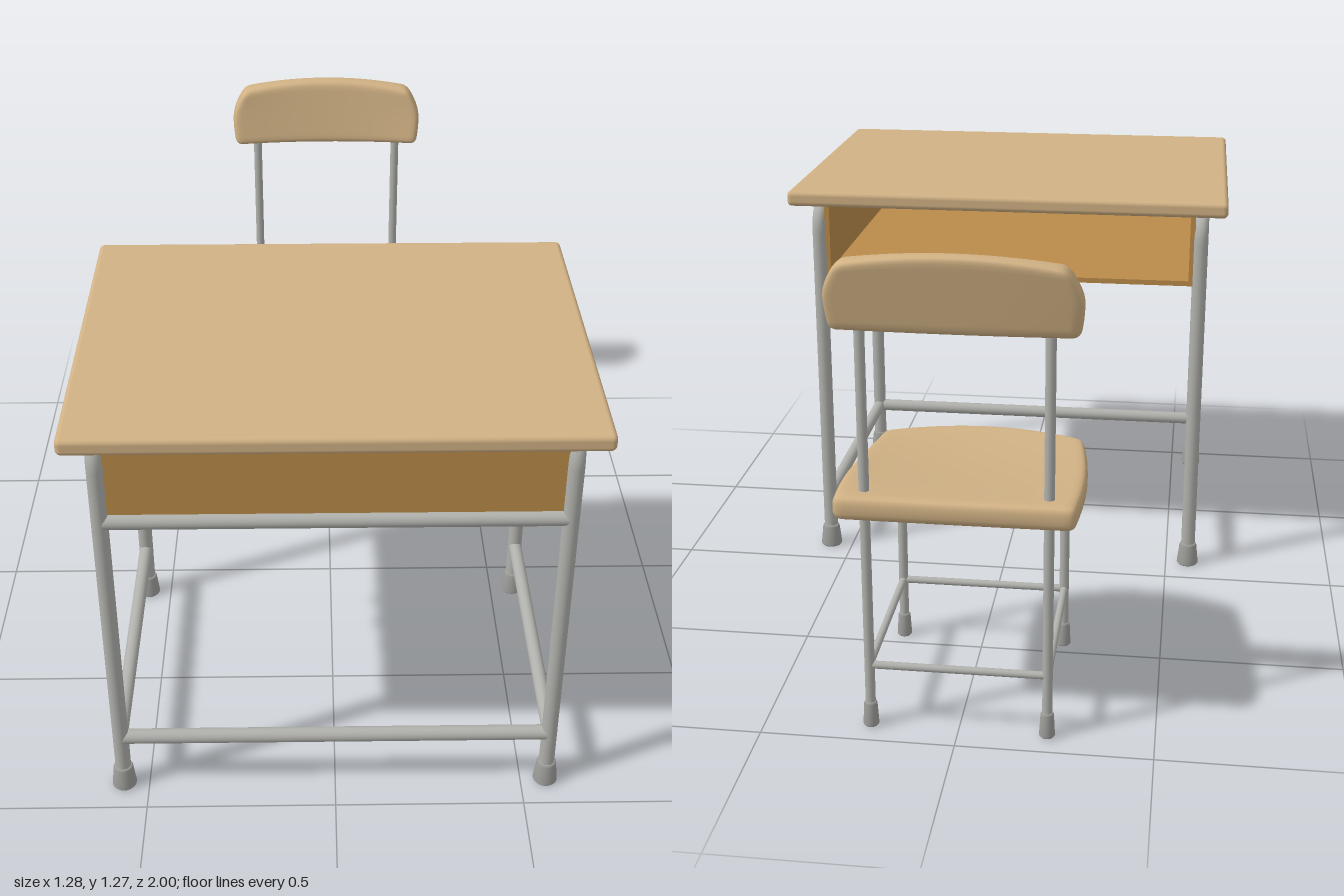
import * as THREE from 'three';
import { mergeVertices } from 'three/addons/utils/BufferGeometryUtils.js';
import { RoundedBoxGeometry } from 'three/addons/geometries/RoundedBoxGeometry.js';

const material = (name, color) => {
  const m = new THREE.MeshStandardMaterial({ color });
  m.name = name;
  return m;
};
const V = (x, y, z) => new THREE.Vector3(x, y, z);

// Path through points with each corner rounded by radius r
function roundedPath(pts, r, closed = false) {
  const path = new THREE.CurvePath();
  const n = pts.length;
  const toward = (a, b) => a.clone().add(b.clone().sub(a).setLength(r));
  let last = closed ? toward(pts[0], pts[1]) : pts[0];
  const first = last.clone();
  for (let i = 1; i < (closed ? n + 1 : n - 1); i++) {
    const p = pts[i % n];
    const start = toward(p, pts[i - 1]);
    const end = toward(p, pts[(i + 1) % n]);
    path.add(new THREE.LineCurve3(last, start));
    path.add(new THREE.QuadraticBezierCurve3(start, p, end));
    last = end;
  }
  path.add(new THREE.LineCurve3(last, closed ? first : pts[n - 1]));
  if (closed) path.curves.pop();
  return path;
}

// Round-edged cushion block, dense near its edges, then shaped by a rule
function shapedBlock(w, h, d, r, rule, segs) {
  const g = new THREE.BoxGeometry(2, 2, 2, ...segs);
  const half = V(w / 2, h / 2, d / 2);
  const inner = half.clone().subScalar(r);
  const pos = g.attributes.position;
  const p = V(0, 0, 0);
  const q = V(0, 0, 0);
  const ease = (t) => Math.sin((t * Math.PI) / 2);
  for (let i = 0; i < pos.count; i++) {
    p.fromBufferAttribute(pos, i);
    p.set(ease(p.x), ease(p.y), ease(p.z)).multiply(half);
    q.copy(p).clamp(inner.clone().negate(), inner);
    p.sub(q).setLength(r).add(q);
    rule(p);
    pos.setXYZ(i, p.x, p.y, p.z);
  }
  g.deleteAttribute('normal');
  g.deleteAttribute('uv');
  const merged = mergeVertices(g, 1e-5);
  merged.computeVertexNormals();
  return merged;
}

export function createModel() {
  const wood = material('pale wood', 0xd0b184);
  const tray = material('brown wood', 0xba8b49);
  const steel = material('grey steel', 0xb0b1ac);
  const rubber = material('grey rubber', 0x9d9d9a);

  const model = new THREE.Group();
  const desk = new THREE.Group();
  desk.name = 'desk';
  const chair = new THREE.Group();
  chair.name = 'chair';
  model.add(desk, chair);

  const add = (group, name, geometry, mat, x = 0, y = 0, z = 0) => {
    const mesh = new THREE.Mesh(geometry, mat);
    mesh.name = name;
    mesh.position.set(x, y, z);
    group.add(mesh);
    return mesh;
  };
  const rod = (group, name, a, b, r) => {
    const g = new THREE.CylinderGeometry(r, r, a.distanceTo(b), 20);
    const mid = a.clone().add(b).multiplyScalar(0.5);
    const mesh = add(group, name, g, steel, mid.x, mid.y, mid.z);
    mesh.quaternion.setFromUnitVectors(V(0, 1, 0), b.clone().sub(a).normalize());
  };
  // Tapered foot cap with softened rims
  const foot = (group, x, z, rTop, rBottom) => {
    const profile = [[0, 0], [rBottom - 0.004, 0], [rBottom, 0.005], [rTop + 0.001, 0.064],
      [rTop - 0.003, 0.07], [0, 0.07]].map(([a, b]) => new THREE.Vector2(a, b));
    add(group, 'footCap', new THREE.LatheGeometry(profile, 24), rubber, x, 0, z);
  };

  // Desk top
  add(desk, 'deskTop', new RoundedBoxGeometry(1.28, 0.045, 0.985, 4, 0.014), wood, 0, 1.1475, 0.5075);

  // Open-backed book tray: hollow sleeve plus front panel
  const sleeve = new THREE.Shape([[-0.55, 0.9], [0.55, 0.9], [0.55, 1.127], [-0.55, 1.127]]
    .map(([a, b]) => new THREE.Vector2(a, b)));
  sleeve.holes.push(new THREE.Path([[-0.535, 0.915], [-0.535, 1.115], [0.535, 1.115], [0.535, 0.915]]
    .map(([a, b]) => new THREE.Vector2(a, b))));
  add(desk, 'bookTray', new THREE.ExtrudeGeometry(sleeve, { depth: 0.8, bevelEnabled: false }), tray, 0, 0, 0.1);
  add(desk, 'trayFront', new THREE.BoxGeometry(1.1, 0.227, 0.015), tray, 0, 1.0135, 0.9075);

  // Desk side frames, hooks and rails
  const legX = 0.567, backZ = 0.105, frontZ = 0.912;
  for (const s of [-1, 1]) {
    const x = s * legX;
    const frame = roundedPath([V(x, 0.03, frontZ), V(x, 1.104, frontZ), V(x, 1.104, backZ), V(x, 0.03, backZ)], 0.075);
    add(desk, 'sideFrame', new THREE.TubeGeometry(frame, 160, 0.021, 16), steel);
    rod(desk, 'sideRail', V(x, 0.172, backZ), V(x, 0.172, frontZ), 0.019);
    for (const z of [backZ, frontZ]) foot(desk, x, z, 0.025, 0.0325);

    // Bag hook: an L-bent loop, upright on the side and folded under the tray
    const hx = s * 0.566, ix = s * 0.43;
    const hook = roundedPath([V(hx, 0.985, 0.45), V(hx, 0.985, 0.56), V(hx, 0.895, 0.56), V(ix, 0.895, 0.56),
      V(ix, 0.895, 0.45), V(hx, 0.895, 0.45)], 0.026, true);
    add(desk, 'bagHook', new THREE.TubeGeometry(hook, 120, 0.012, 10, true), steel);
  }
  for (const y of [0.172, 0.878]) rod(desk, 'frontRail', V(-legX, y, frontZ), V(legX, y, frontZ), 0.02);

  // Chair legs, back posts and lower rails
  const cx = 0.227, cf = -0.45, cb = -0.925;
  for (const x of [-cx, cx]) {
    rod(chair, 'frontLeg', V(x, 0.03, cf), V(x, 0.59, cf), 0.013);
    rod(chair, 'backPost', V(x, 0.03, cb), V(x, 1.13, cb), 0.013);
    rod(chair, 'sideRail', V(x, 0.174, cb), V(x, 0.174, cf), 0.01);
    for (const z of [cf, cb]) foot(chair, x, z, 0.016, 0.0205);
  }
  for (const z of [cf, cb]) rod(chair, 'crossRail', V(-cx, 0.174, z), V(cx, 0.174, z), 0.01);

  // Seat: bowed front edge, narrowing forward, gently dished
  const seat = shapedBlock(0.61, 0.064, 0.62, 0.024, (p) => {
    const u = p.x / 0.305;
    const t = (p.z + 0.31) / 0.62;
    const fore = Math.max(0, (t - 0.35) / 0.65);
    const aft = Math.max(0, (0.35 - t) / 0.35);
    p.x *= 1 - 0.1 * fore * fore - 0.03 * aft * aft;
    p.z -= 0.075 * u * u * t;
    p.y += 0.628 - 0.036 * t * t * (3 - 2 * t) - 0.02 * (1 - u * u) * Math.sin(Math.PI * t);
  }, [28, 8, 28]);
  add(chair, 'seat', seat, wood, 0, 0, -0.675);

  // Backrest: tilted, arched on top, hollowed on its front
  const rest = shapedBlock(0.61, 0.2, 0.055, 0.02, (p) => {
    const u = p.x / 0.305;
    const v = p.y / 0.1;
    p.x *= 1 - 0.13 * Math.max(0, v) ** 1.6 - 0.03 * Math.min(0, v) ** 2;
    p.y -= 0.024 * u * u * (v + 1) / 2;
    p.z += 0.025 * u * u * (0.6 + 0.4 * p.z / 0.0275) - 0.019 * v;
  }, [28, 16, 8]);
  add(chair, 'backrest', rest, wood, 0, 1.17, -0.9535);

  return model;
}
